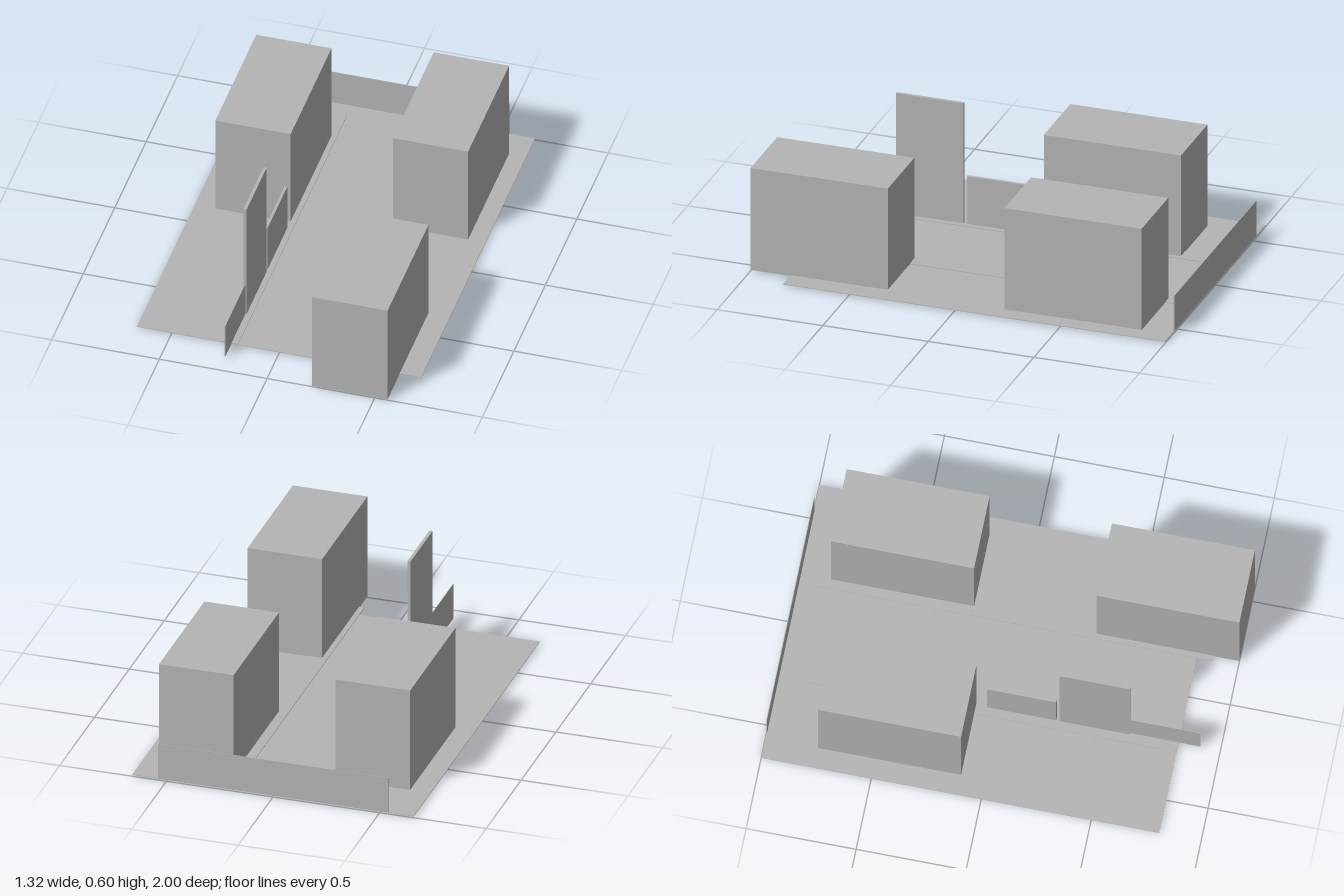
import * as THREE from 'three';

export function createModel() {
  const model = new THREE.Group();
  const grey = new THREE.MeshStandardMaterial({ color: 0xb4b4b4 });
  grey.name = 'plainGrey';

  // A box given by its limits on each axis
  function block(name, [x0, x1], [y0, y1], [z0, z1]) {
    const mesh = new THREE.Mesh(new THREE.BoxGeometry(x1 - x0, y1 - y0, z1 - z0), grey);
    mesh.name = name;
    mesh.position.set((x0 + x1) / 2, (y0 + y1) / 2, (z0 + z1) / 2);
    model.add(mesh);
  }

  // Ground sheet and the two raised strips running front to back
  block('ground', [-0.66, 0.66], [0.006, 0.009], [-1, 0.81]);
  block('leftHandStrip', [-0.27, -0.19], [0.008, 0.012], [-0.92, 0.81]);
  block('rightHandStrip', [0.185, 0.27], [0.008, 0.012], [-0.92, 0.88]);

  // Three equal buildings
  for (const [name, x, z] of [
    ['frontBuilding', 0.385, 0.675],
    ['rearBuilding', 0.405, -0.535],
    ['sideBuilding', -0.39, -0.435],
  ]) {
    block(name, [x - 0.175, x + 0.175], [0.005, 0.505], [z - 0.325, z + 0.325]);
  }

  // Row of upright panels, from front to back
  block('frontFence', [-0.223, -0.22], [0.008, 0.18], [0.59, 0.91]);
  block('tallPanel', [-0.23, -0.215], [0, 0.6], [0.27, 0.59]);
  block('lowPanel', [-0.229, -0.216], [0.008, 0.245], [-0.06, 0.255]);

  // Wall along the rear edge
  block('rearWall', [-0.54, 0.54], [0.008, 0.18], [-1, -0.997]);

  return model;
}
